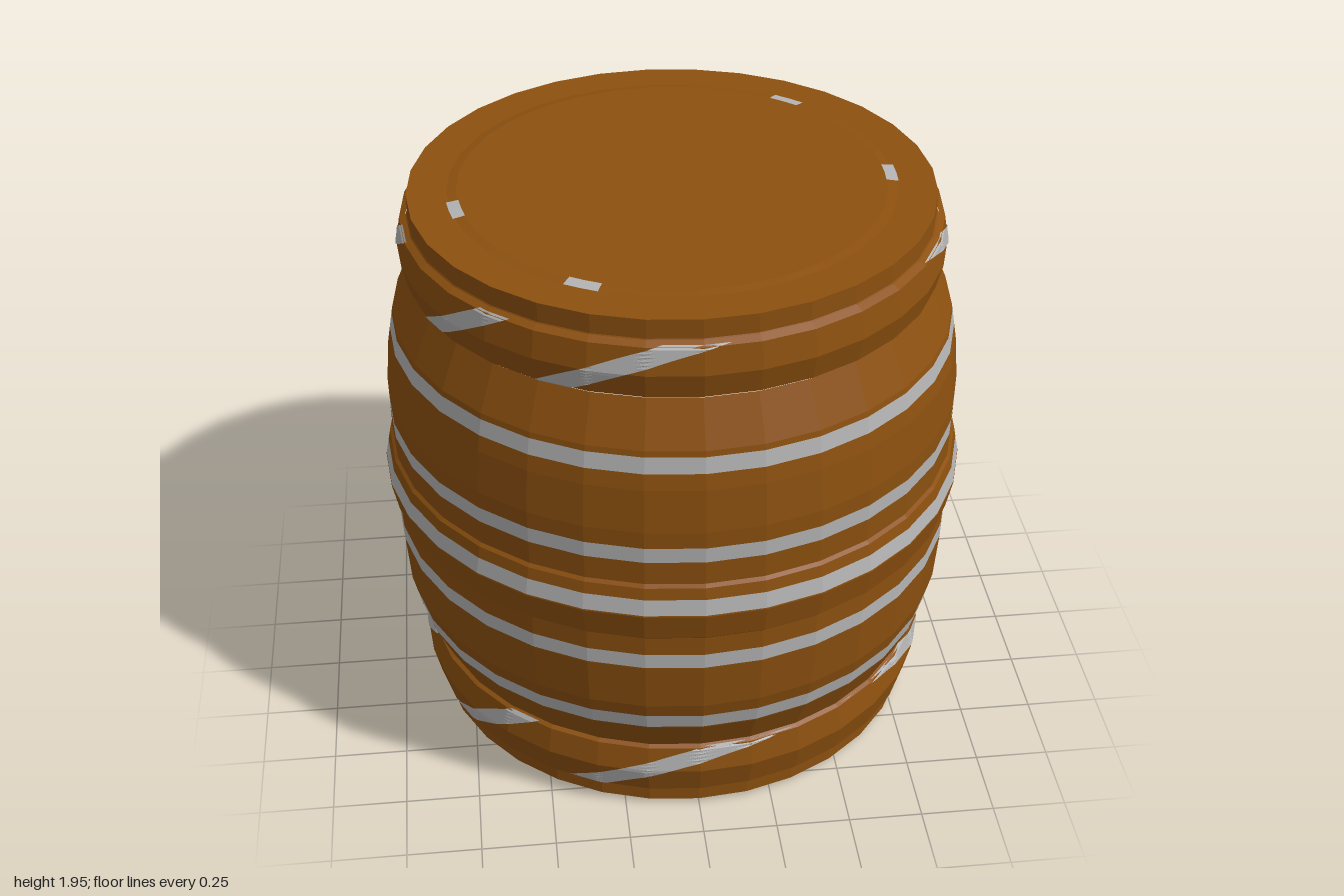
import * as THREE from 'three';

const SIDES = 32;
const TAU = Math.PI * 2;
const rad = THREE.MathUtils.degToRad;

// Outer profile [radius, height] of each section, from bottom to top
const baseRim = [[0, 0], [0.70, 0], [0.73, 0.012], [0.86, 0.015], [0.86, 0.07], [0.865, 0.075]];
const lowerRing = [[0.86, 0.07], [0.882, 0.085], [0.905, 0.185], [0.887, 0.275], [0.87, 0.287]];
const lowerStaves = [[0.875, 0.285], [0.93, 0.41], [0.958, 0.53], [0.97, 0.70], [0.97, 0.83]];
const middleRing = [[0.965, 0.825], [0.98, 0.84], [1, 0.94], [0.98, 1.04], [0.965, 1.056]];
const upperStaves = [[0.97, 1.05], [0.972, 1.25], [0.958, 1.40], [0.935, 1.53], [0.87, 1.68]];
const upperRing = [[0.86, 1.675], [0.882, 1.69], [0.902, 1.775], [0.887, 1.865], [0.865, 1.878]];
const topRim = [[0.865, 1.872], [0.86, 1.88], [0.86, 1.945], [0.73, 1.945], [0.70, 1.95], [0, 1.95]];

// Radius of a rising profile at height y
function radiusAt(profile, y) {
  for (let i = 1; i < profile.length; i++) {
    const [r0, y0] = profile[i - 1], [r1, y1] = profile[i];
    if (y <= y1) return r0 + (r1 - r0) * (y - y0) / (y1 - y0);
  }
  return profile[profile.length - 1][0];
}

// Part of a profile between two heights
function slice(profile, y0, y1) {
  const inner = profile.filter(([, y]) => y > y0 + 1e-4 && y < y1 - 1e-4);
  return [[radiusAt(profile, y0), y0], ...inner, [radiusAt(profile, y1), y1]];
}

function lathe(name, profile, material, start = 0, length = TAU, sides = SIDES) {
  const points = profile.map(([r, y]) => new THREE.Vector2(r, y));
  const mesh = new THREE.Mesh(new THREE.LatheGeometry(points, sides, start, length), material);
  mesh.name = name;
  return mesh;
}

// Section of the barrel with level stripes at the given height ranges
function stripedSection(name, profile, stripes, wood, paint) {
  const group = new THREE.Group();
  group.name = name;
  let y = profile[0][1];
  for (const [a, b] of stripes) {
    group.add(lathe(name + 'Wood', slice(profile, y, a), wood));
    group.add(lathe(name + 'Stripe', slice(profile, a, b), paint));
    y = b;
  }
  group.add(lathe(name + 'Wood', slice(profile, y, profile[profile.length - 1][1]), wood));
  return group;
}

// Slanted stripe on a ring, cut by a tilted plane; side mirrors it about the tilt axis
function slantedStripe(profile, offset, side, paint) {
  const AXIS = rad(59), SLOPE = 0.58, HALF = 0.055, ROWS = 16, COLS = 12;
  const y0 = profile[1][1] - 0.008, y1 = profile[3][1] + 0.006;
  const positions = [], index = [];
  for (let i = 0; i <= ROWS; i++) {
    const y = y0 + (y1 - y0) * i / ROWS;
    const r = radiusAt(profile, y);
    const u = offset + (y - y0) / SLOPE;
    const angle = v => Math.acos(THREE.MathUtils.clamp(v / r, -1, 1));
    const a0 = angle(u + HALF), a1 = angle(u - HALF);
    for (let j = 0; j <= COLS; j++) {
      const a = AXIS + side * (a0 + (a1 - a0) * j / COLS);
      // follow the flat sides of the ring
      const step = TAU / SIDES;
      const local = ((a % step) + step) % step - step / 2;
      const d = r * Math.cos(step / 2) / Math.cos(local) + 0.004;
      positions.push(d * Math.cos(a), y, d * Math.sin(a));
      if (i < ROWS && j < COLS) {
        const k = i * (COLS + 1) + j, n = k + COLS + 1;
        index.push(k, n, k + 1, k + 1, n, n + 1);
      }
    }
  }
  if (side < 0) index.reverse();
  // wind the faces outward
  index.reverse();
  const geometry = new THREE.BufferGeometry();
  geometry.setAttribute('position', new THREE.Float32BufferAttribute(positions, 3));
  geometry.setIndex(index);
  geometry.computeVertexNormals();
  const mesh = new THREE.Mesh(geometry, paint);
  mesh.name = 'slantedStripe';
  return mesh;
}

export function createModel() {
  const wood = new THREE.MeshStandardMaterial({ color: 0x8c500f, flatShading: true });
  wood.name = 'brownWood';
  const paint = new THREE.MeshStandardMaterial({ color: 0xb4b4b4, flatShading: true, side: THREE.DoubleSide });
  paint.name = 'greyBand';

  const model = new THREE.Group();
  model.name = 'barrel';

  // Rims with lids, and end rings
  model.add(lathe('baseRim', baseRim, wood));
  model.add(lathe('lowerRing', lowerRing, wood));
  model.add(lathe('upperRing', upperRing, wood));
  model.add(lathe('topRim', topRim, wood));

  // Bulging staves and middle ring
  model.add(stripedSection('lowerStaves', lowerStaves, [[0.415, 0.475], [0.705, 0.76]], wood, paint));
  model.add(stripedSection('middleRing', middleRing, [[0.945, 1.0]], wood, paint));
  model.add(stripedSection('upperStaves', upperStaves, [[1.135, 1.19], [1.455, 1.51]], wood, paint));

  // Slanted stripes on the end rings
  for (const side of [1, -1]) {
    for (const offset of [0.47, -0.08, -0.67]) model.add(slantedStripe(lowerRing, offset, side, paint));
    for (const offset of [0.41, -0.09, -0.67]) model.add(slantedStripe(upperRing, offset, side, paint));
  }

  // Small marks on the raised edge of both lids
  for (const angle of [2, 118, 170, -50]) {
    const start = rad(90 - angle - 4.4), length = rad(8.8);
    model.add(lathe('topLidMark', [[0.735, 1.948], [0.695, 1.953]], paint, start, length, 2));
    model.add(lathe('bottomLidMark', [[0.695, -0.002], [0.735, 0.009]], paint, start, length, 2));
  }
  return model;
}
